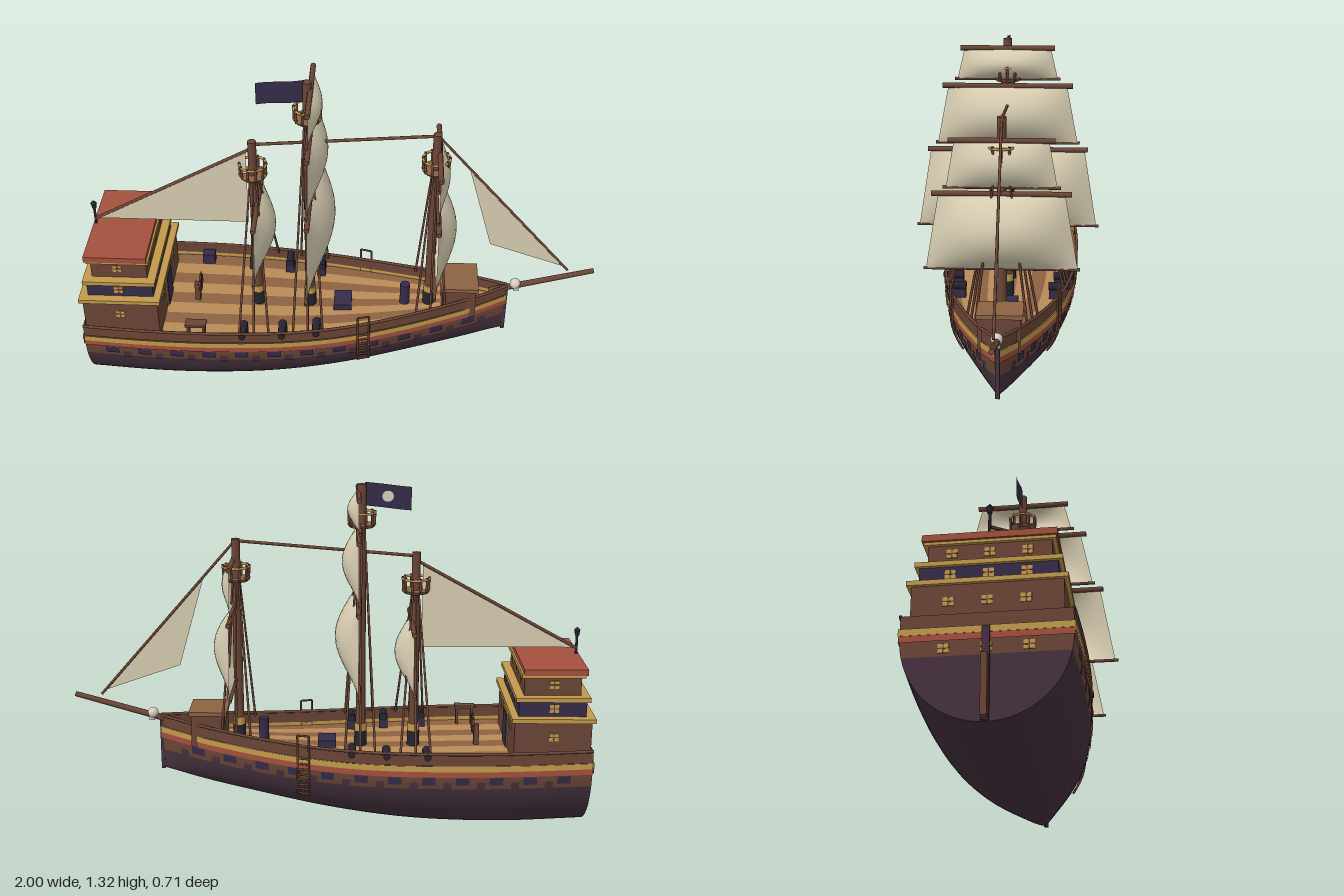
import * as THREE from 'three';

const V = (x, y, z) => new THREE.Vector3(x, y, z);
const mat = (name, color, double) => {
  const m = new THREE.MeshStandardMaterial({ color });
  m.name = name;
  if (double) m.side = THREE.DoubleSide;
  return m;
};

export function createModel() {
  const ship = new THREE.Group();
  ship.name = 'sailingShip';
  const hullMat = mat('hullPurpleBrown', 0x46323f, true);
  const purple = mat('darkPurple', 0x352c4a, true);
  const wood = mat('brownWood', 0x6b4536, true);
  const gold = mat('gold', 0xc39a4c, true);
  const red = mat('brickRed', 0xa4503d, true);
  const plankLight = mat('lightPlank', 0xba8c57, true);
  const plankDark = mat('darkPlank', 0x8d6242, true);
  const canvas = mat('canvas', 0xd8ceb2, true);
  const iron = mat('iron', 0x262430);
  const bone = mat('bone', 0xd8d0c0, true);

  // Helpers
  const add = (name, geo, material, x = 0, y = 0, z = 0) => {
    const m = new THREE.Mesh(geo, material);
    m.name = name;
    m.position.set(x, y, z);
    ship.add(m);
    return m;
  };
  const box = (name, material, x0, x1, y0, y1, z0, z1) =>
    add(name, new THREE.BoxGeometry(x1 - x0, y1 - y0, z1 - z0), material, (x0 + x1) / 2, (y0 + y1) / 2, (z0 + z1) / 2);
  const rod = (name, material, a, b, r, r2 = r, sides = 8) => {
    const m = add(name, new THREE.CylinderGeometry(r2, r, a.distanceTo(b), sides), material);
    m.position.copy(a).lerp(b, 0.5);
    m.quaternion.setFromUnitVectors(V(0, 1, 0), b.clone().sub(a).normalize());
    return m;
  };
  const grid = (nu, nv, fn) => {
    const pos = [], idx = [];
    for (let i = 0; i <= nu; i++) for (let j = 0; j <= nv; j++) pos.push(...fn(i / nu, j / nv));
    for (let i = 0; i < nu; i++) for (let j = 0; j < nv; j++) {
      const a = i * (nv + 1) + j, b = a + nv + 1;
      idx.push(a, b, a + 1, b, b + 1, a + 1);
    }
    const g = new THREE.BufferGeometry();
    g.setAttribute('position', new THREE.Float32BufferAttribute(pos, 3));
    g.setIndex(idx);
    g.computeVertexNormals();
    return g;
  };
  const curve = (xs, ys) => {
    const c = new THREE.CubicInterpolant(xs, ys, 1);
    return x => c.evaluate(x)[0];
  };
  const lerp = THREE.MathUtils.lerp;

  // Hull lines: half width, top edge and keel along the length
  const STERN = -0.96, BOW = 0.67;
  const width = curve([-0.96, -0.8, -0.6, -0.4, -0.2, 0, 0.2, 0.4, 0.55, 0.67],
    [0.265, 0.273, 0.277, 0.272, 0.256, 0.224, 0.174, 0.112, 0.06, 0.004]);
  const sheer = curve([-0.96, -0.5, 0, 0.3, 0.67], [0.37, 0.36, 0.358, 0.375, 0.415]);
  const keel = curve([-0.96, -0.65, -0.3, 0, 0.3, 0.5, 0.67], [0.014, 0.001, 0.012, 0.05, 0.108, 0.152, 0.2]);
  const halfAt = (x, y) => {
    const yc = sheer(x) - 0.08;
    const t = Math.min(1, Math.max(0, (yc - y) / (yc - keel(x))));
    return width(x) * Math.sqrt(1 - t * t);
  };
  // Piece of hull skin between two drops below the top edge
  const skin = (name, material, x0, x1, d0, d1, out, side, nx = 40) =>
    add(name, grid(nx, 4, (u, v) => {
      const x = lerp(x0, x1, u), y = sheer(x) - lerp(d0, d1, v);
      return [x, y, side * (halfAt(x, y) + out)];
    }), material);
  const bands = [['bulwark', wood, 0, 0.046, 0], ['goldStripe', gold, 0.045, 0.068, 0.005],
    ['redStripe', red, 0.068, 0.09, 0.004], ['gunDeckBand', wood, 0.088, 0.14, 0]];
  for (const [name, m, d0, d1, out] of bands) {
    for (const s of [1, -1]) skin(name, m, STERN, BOW, d0, d1, out, s);
    add(name + 'Transom', grid(1, 2, (u, v) => {
      const y = sheer(STERN) - lerp(d0, d1, v);
      return [STERN - out, y, (2 * u - 1) * (halfAt(STERN, y) + out)];
    }), m);
  }
  // Lower hull with rounded bottom
  const belly = (x, a) => {
    const top = sheer(x) - 0.14, yc = sheer(x) - 0.08, k = keel(x);
    const t = lerp(Math.asin((yc - top) / (yc - k)), Math.PI / 2, a);
    return [yc - (yc - k) * Math.sin(t), width(x) * Math.cos(t)];
  };
  for (const s of [1, -1]) add('lowerHull', grid(40, 14, (u, v) => {
    const x = lerp(STERN, BOW, u), [y, z] = belly(x, v);
    return [x, y, s * z];
  }), hullMat);
  add('lowerTransom', grid(1, 14, (u, v) => {
    const [y, z] = belly(STERN, v);
    return [STERN, y, (2 * u - 1) * z];
  }), hullMat);
  box('stem', hullMat, 0.66, 0.674, 0.195, 0.415, -0.008, 0.008);
  box('sternPost', hullMat, -0.973, -0.955, 0.015, 0.32, -0.012, 0.012);
  box('rudder', wood, -1, -0.972, 0.02, 0.22, -0.01, 0.01);

  // Rail caps, gun ports, battens, cannons and boarding ladders on both sides
  for (const s of [1, -1]) {
    const rim = [];
    for (let i = 0; i <= 24; i++) {
      const x = lerp(STERN, BOW, i / 24);
      rim.push(V(x, sheer(x), s * width(x)));
    }
    add('railCap', new THREE.TubeGeometry(new THREE.CatmullRomCurve3(rim), 48, 0.006, 6), wood);
    for (let x = -0.88; x < 0.6; x += 0.125) {
      skin('gunPort', purple, x, x + 0.05, 0.092, 0.122, 0.004, s, 2);
      skin('hullBatten', hullMat, x + 0.065, x + 0.095, 0.112, 0.145, 0.003, s, 2);
    }
    for (const x of [-0.35, -0.2, -0.07]) {
      const y = sheer(x) - 0.012, w = width(x);
      rod('cannon', iron, V(x, y, s * (w - 0.075)), V(x, y, s * (w + 0.008)), 0.017, 0.013, 10);
      box('cannonCarriage', purple, x - 0.017, x + 0.017, y - 0.05, y - 0.012, s * (w - 0.045) - 0.028, s * (w - 0.045) + 0.028);
    }
    const at = (x, y) => V(x, y, s * (halfAt(x, y) + 0.008));
    for (const x of [0.09, 0.133]) {
      rod('ladderPost', wood, at(x, 0.28), at(x, 0.405), 0.004);
      for (let i = 0; i < 5; i++) rod('ladderRail', wood, at(x, 0.155 + i * 0.025), at(x, 0.18 + i * 0.025), 0.004);
    }
    for (let i = 0; i < 8; i++) rod('ladderRung', wood, at(0.09, 0.16 + i * 0.022), at(0.133, 0.16 + i * 0.022), 0.004);
    rod('ladderTop', wood, at(0.09, 0.405), at(0.133, 0.405), 0.004);
  }

  // Deck of alternating planks
  const N = 9;
  for (let k = 0; k < N; k++) add('deckPlank', grid(30, 1, (u, v) => {
    const x = lerp(STERN, BOW, u);
    return [x, sheer(x) - 0.06, width(x) * (2 * (k + v) / N - 1) * 0.995];
  }), k % 2 ? plankLight : plankDark);

  // Stern castle: three tiers with gold ledges and a red roof
  const pane = (x, y, z, onEnd) => {
    const p = (name, m, w, h, t) => onEnd
      ? box(name, m, x - t, x + t, y - h, y + h, z - w, z + w)
      : box(name, m, x - w, x + w, y - h, y + h, z - t, z + t);
    p('window', gold, 0.017, 0.015, 0.003);
    p('windowBarUpright', wood, 0.002, 0.015, 0.004);
    p('windowBarLevel', wood, 0.017, 0.002, 0.004);
  };
  const tiers = [[wood, -0.955, -0.67, 0.3, 0.475, 0.237, 0.415], [purple, -0.935, -0.685, 0.475, 0.55, 0.218, 0.52],
    [wood, -0.915, -0.705, 0.55, 0.637, 0.197, 0.605]];
  tiers.forEach(([m, x0, x1, y0, y1, w, wy], i) => {
    box('castleTier', m, x0, x1, y0, y1, -w, w);
    box('castleLedge', gold, x0 - 0.012, x1 + 0.012, y1 - 0.002, y1 + 0.014, -w - 0.014, w + 0.014);
    for (const s of [1, -1]) pane(-0.815, wy, s * w, false);
    for (const z of [-0.12, 0, 0.12]) {
      pane(x0, wy, z, true);
      if (i || z) pane(x1, wy, z, true);
    }
  });
  box('castleRoof', red, -0.935, -0.70, 0.645, 0.668, -0.215, 0.215);
  box('doorFrame', gold, -0.672, -0.666, 0.3, 0.445, -0.055, 0.055);
  box('door', purple, -0.67, -0.663, 0.3, 0.435, -0.045, 0.045);
  for (const z of [-0.13, 0, 0.13]) pane(STERN, 0.255, z, true);
  rod('lanternPole', iron, V(-0.925, 0.66, 0), V(-0.925, 0.745, 0), 0.005);
  add('lantern', new THREE.CylinderGeometry(0.011, 0.008, 0.022, 8), iron, -0.925, 0.75, 0);
  add('lanternCap', new THREE.ConeGeometry(0.013, 0.014, 8), iron, -0.925, 0.767, 0);

  // Deck fittings
  box('foreCabin', wood, 0.415, 0.545, 0.31, 0.438, -0.075, 0.075);
  box('foreCabinRoof', plankDark, 0.407, 0.553, 0.436, 0.452, -0.082, 0.082);
  box('hatch', purple, -0.01, 0.06, 0.29, 0.325, -0.046, 0.046);
  add('barrel', new THREE.CylinderGeometry(0.02, 0.02, 0.09, 10), purple, 0.27, 0.36, 0);
  box('crate', purple, -0.565, -0.515, 0.295, 0.345, -0.26, -0.22);
  box('bench', wood, -0.57, -0.49, 0.37, 0.38, 0.215, 0.255);
  for (const x of [-0.56, -0.5]) box('benchLeg', wood, x - 0.005, x + 0.005, 0.295, 0.37, 0.22, 0.25);
  box('wheelStand', wood, -0.565, -0.545, 0.295, 0.38, -0.012, 0.012);
  add('steeringWheel', new THREE.TorusGeometry(0.03, 0.005, 6, 18), wood, -0.54, 0.385, 0).rotation.y = Math.PI / 2;
  for (let i = 0; i < 4; i++) {
    const a = i * Math.PI / 4, c = 0.042 * Math.cos(a), d = 0.042 * Math.sin(a);
    rod('wheelSpoke', wood, V(-0.54, 0.385 - c, -d), V(-0.54, 0.385 + c, d), 0.003);
  }

  // Masts: position, top, nest height, sails [bottom, top, half widths, yard half widths, billow]
  const masts = [
    [-0.31, 1.06, 0.905, [[0.56, 0.79, 0.215, 0.175, 0.23, 0.195, 0.065]]],
    [-0.105, 1.315, 1.155, [[0.587, 0.89, 0.345, 0.295, 0.355, 0.307, 0.088],
      [0.916, 1.137, 0.268, 0.225, 0.276, 0.247, 0.062], [1.163, 1.28, 0.19, 0.162, 0.2, 0.178, 0.042]]],
    [0.365, 1.11, 0.95, [[0.562, 0.838, 0.27, 0.222, 0.278, 0.246, 0.078],
      [0.86, 1.028, 0.195, 0.165, 0.207, 0.186, 0.042]]]];
  for (const [x, top, nest, sails] of masts) {
    const deck = sheer(x) - 0.06;
    rod('mast', wood, V(x, deck, 0), V(x, top, 0), 0.019, 0.016, 12);
    rod('mastCollar', gold, V(x, deck + 0.06, 0), V(x, deck + 0.09, 0), 0.023, 0.023, 12);
    rod('mastFoot', iron, V(x, deck, 0), V(x, deck + 0.06, 0), 0.024, 0.024, 12);
    add('nestFloor', new THREE.CylinderGeometry(0.054, 0.045, 0.012, 16), plankDark, x, nest + 0.006, 0);
    add('nestRail', new THREE.TorusGeometry(0.05, 0.005, 6, 20), gold, x, nest + 0.055, 0).rotation.x = Math.PI / 2;
    for (let i = 0; i < 10; i++) {
      const a = i * Math.PI / 5, c = Math.cos(a), d = Math.sin(a);
      rod('nestPost', wood, V(x + 0.047 * c, nest + 0.005, 0.047 * d), V(x + 0.05 * c, nest + 0.062, 0.05 * d), 0.005, 0.005, 6);
    }
    for (const s of [1, -1]) for (const dx of [-0.052, 0.004, 0.06]) {
      const b = x + dx;
      rod('shroud', wood, V(b, sheer(b) - 0.01, s * (width(b) - 0.012)), V(x + dx * 0.2, nest, s * 0.02), 0.005, 0.004, 6);
    }
    for (const [y0, y1, wb, wt, yb, yt, billow] of sails) {
      add('squareSail', grid(16, 14, (u, v) => {
        const p = 2 * u - 1;
        return [x + 0.012 + billow * Math.sin(Math.PI * v) ** 0.8 * (1 - p * p), lerp(y0, y1, v), p * lerp(wb, wt, v)];
      }), canvas);
      rod('lowerYard', wood, V(x + 0.008, y0, -yb), V(x + 0.008, y0, yb), 0.006);
      rod('upperYard', wood, V(x + 0.012, y1, -yt), V(x + 0.012, y1, yt), 0.01);
    }
  }

  // Triangular sails, stays and bowsprit
  const tri = (name, a, b, c) => add(name, grid(1, 1, (u, v) => a.clone().lerp(b, u).lerp(c, v).toArray()), canvas);
  tri('spankerSail', V(-0.335, 0.692, 0), V(-0.335, 1.015, 0), V(-0.915, 0.692, 0));
  tri('jibSail', V(0.588, 0.617, 0), V(0.487, 0.968, 0), V(0.89, 0.513, 0));
  rod('spankerStay', wood, V(-0.925, 0.69, 0), V(-0.31, 1.03, 0), 0.006);
  rod('topStay', wood, V(-0.31, 1.046, 0), V(0.365, 1.102, 0), 0.006);
  rod('jibStay', wood, V(0.37, 1.1, 0), V(0.895, 0.5, 0), 0.005);
  rod('bowsprit', wood, V(0.6, 0.385, 0), V(0.997, 0.5, 0), 0.013, 0.01, 10);
  add('figurehead', new THREE.SphereGeometry(0.021, 14, 10), bone, 0.7, 0.424, 0);
  box('figureheadJaw', bone, 0.695, 0.715, 0.396, 0.412, -0.011, 0.011);

  // Flag with a pale disc on its rear face
  add('flag', grid(8, 1, (u, v) => [lerp(-0.115, -0.288, u), lerp(1.235, 1.322, v) - 0.018 * u, 0.004 * Math.sin(u * 6)]), purple);
  add('flagDisc', new THREE.CircleGeometry(0.022, 16), bone, -0.2, 1.27, -0.006).rotation.y = Math.PI;
  return ship;
}
